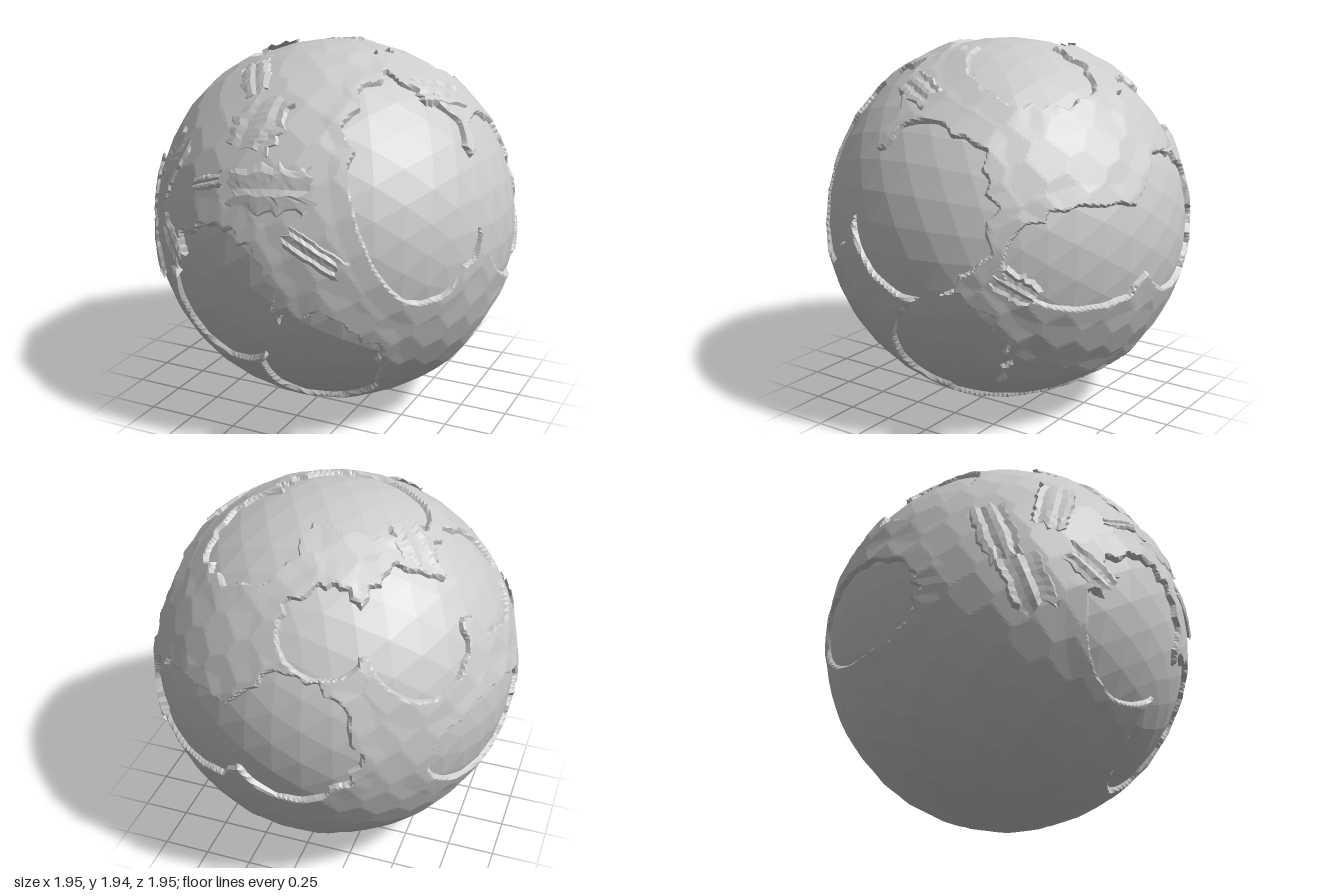
import * as THREE from 'three';
import { mergeVertices } from 'three/addons/utils/BufferGeometryUtils.js';

const CENTRE_Y = 0.98;
const V = (x, y, z) => new THREE.Vector3(x, y, z);
const material = new THREE.MeshStandardMaterial({ color: 0xcccccc, flatShading: true });
const flakeMaterial = material.clone();
flakeMaterial.side = THREE.DoubleSide;

function seeded(seed) {
  let s = seed;
  return () => ((s = (s * 16807) % 2147483647) / 2147483647);
}

// Sides of the ball: direction outwards, rightwards and upwards
function side(x, y, z) {
  const out = V(x, y, z).normalize();
  const right = Math.abs(y) > 0.9 ? V(1, 0, 0) : V(0, 1, 0).cross(out).normalize();
  return { out, right, up: out.clone().cross(right) };
}
const SIDES = {
  front: side(0, 0, 1), right: side(1, 0, 0), top: side(0, 1, 0),
  frontRight: side(0.612, 0.5, 0.612), backLeft: side(-0.612, 0.5, -0.612),
  backRight: side(0.612, -0.5, -0.612),
};

// Local frame at point u, v of a side, with its first axis turned by an angle
function frameAt(name, u, v, angle = 0) {
  const s = SIDES[name];
  const out = s.out.clone().multiplyScalar(Math.sqrt(1 - u * u - v * v));
  out.addScaledVector(s.right, u).addScaledVector(s.up, v);
  const along = s.right.clone().multiplyScalar(Math.cos(angle)).addScaledVector(s.up, Math.sin(angle));
  along.addScaledVector(out, -along.dot(out)).normalize();
  return { out, along, across: out.clone().cross(along) };
}

// Broken-away areas: side, u, v, half width, half height
const HOLES = [
  ['top', -.1, 0, .44, .33], ['top', .3, .34, .3, .34], ['top', -.77, 0, .3, .3],
  ['front', -.22, -.2, .36, .42], ['front', .28, -.57, .32, .42],
  ['frontRight', .12, -.08, .39, .7], ['right', .1, .24, .44, .48],
  ['backLeft', -.39, .21, .24, .23], ['backLeft', .05, .1, .3, .35],
  ['backLeft', -.64, -.3, .36, .38], ['backLeft', .45, -.5, .48, .27],
  ['backRight', -.45, -.1, .32, .42], ['backRight', .1, -.48, .58, .27],
  ['backRight', .25, .5, .5, .27],
];

// Each hole is an oval, smooth along one part of its edge and jagged along the rest
function makeHole([name, u, v, halfWidth, halfHeight], i) {
  const rand = seeded(i * 977 + 31);
  const turn = rand() * 40;
  const jags = Array.from({ length: 40 }, (_, k) => (rand() - 0.5) * ((k + turn) % 40 < 16 ? 0.03 : 0.24));
  return { ...frameAt(name, u, v), halfWidth, halfHeight, jags };
}

// Distance from a direction to a hole's edge, negative inside
function edgeDistance(hole, d) {
  const w = d.dot(hole.out);
  if (w < 0.3) return 1;
  const x = d.dot(hole.along) / w / hole.halfWidth;
  const y = d.dot(hole.across) / w / hole.halfHeight;
  const t = (Math.atan2(y, x) / (2 * Math.PI) + 0.5) * 40, k = Math.floor(t);
  const jag = THREE.MathUtils.lerp(hole.jags[k % 40], hole.jags[(k + 1) % 40], t - k);
  return (Math.hypot(x, y) - 1 - jag) * Math.sqrt(hole.halfWidth * hole.halfHeight);
}

// Faceted outer shell, sinking steeply below the core wherever a piece is missing
function makeShell() {
  const holes = HOLES.map(makeHole);
  const facets = [];
  for (let i = 0; i < 420; i++) {
    const y = 1 - (2 * i + 1) / 420, r = Math.sqrt(1 - y * y);
    facets.push(V(r * Math.cos(i * 2.39996), y, r * Math.sin(i * 2.39996)));
  }
  let geo = new THREE.IcosahedronGeometry(1, 72);
  geo.deleteAttribute('uv');
  geo.deleteAttribute('normal');
  geo = mergeVertices(geo, 1e-4);
  const pos = geo.attributes.position, sunk = [], d = V(0, 0, 0);
  for (let i = 0; i < pos.count; i++) {
    d.fromBufferAttribute(pos, i).normalize();
    let facing = 0, dist = 1;
    for (const f of facets) facing = Math.max(facing, f.dot(d));
    for (const h of holes) dist = Math.min(dist, edgeDistance(h, d));
    const rim = 0.008 * THREE.MathUtils.clamp(1 - dist / 0.15, 0, 1);
    const drop = 0.06 * (1 - THREE.MathUtils.smoothstep(dist, -0.026, 0.004));
    d.multiplyScalar(Math.min(0.975 / facing, 0.982) + rim - drop);
    sunk.push(dist < -0.03);
    pos.setXYZ(i, d.x, d.y, d.z);
  }
  // Leave out the triangles buried inside the core
  const index = [], old = geo.index.array;
  for (let i = 0; i < old.length; i += 3) {
    const t = [old[i], old[i + 1], old[i + 2]];
    if (!t.every((k) => sunk[k])) index.push(...t);
  }
  geo.setIndex(index);
  geo.computeVertexNormals();
  return geo;
}

// Torn, ridged flake lying on the shell; one end is tilted up
function makeFlake([name, u, v, length, width, angle], seed) {
  const rand = seeded(seed * 613 + 7);
  const { out, along, across } = frameAt(name, u, v, angle);
  const nu = 14, nv = 8, pos = [], index = [];
  const torn = Array.from({ length: nv + 1 }, () => [0.75 + rand() * 0.4, 0.75 + rand() * 0.4]);
  for (let i = 0; i <= nu; i++) {
    const a = (i / nu) * 2 - 1;
    const half = width * (0.75 + 0.25 * Math.cos(a * 1.4)) * (0.85 + rand() * 0.3);
    for (let j = 0; j <= nv; j++) {
      const b = (j / nv) * 2 - 1;
      const reach = length * a * torn[j][a > 0 ? 1 : 0];
      const edge = Math.max(Math.abs(a), Math.abs(b)) > 0.99;
      const ridge = 0.006 * Math.sin(j * 2.1 + seed) + 0.003 * rand();
      const r = edge && a < 0.9 ? 0.955 : 0.986 + 0.007 * a + ridge;
      const p = out.clone().addScaledVector(along, reach).addScaledVector(across, half * b).setLength(r);
      pos.push(p.x, p.y, p.z);
      if (i < nu && j < nv) {
        const k = i * (nv + 1) + j;
        index.push(k, k + nv + 1, k + 1, k + 1, k + nv + 1, k + nv + 2);
      }
    }
  }
  const geo = new THREE.BufferGeometry();
  geo.setAttribute('position', new THREE.Float32BufferAttribute(pos, 3));
  geo.setIndex(index);
  geo.computeVertexNormals();
  return geo;
}

// Torn flakes: side, u, v, half length, half width, direction
const FLAKES = [
  ['front', -.08, .66, .17, .19, 1.5], ['front', .06, .4, .24, .15, .1],
  ['front', -.22, .84, .14, .1, 2], ['front', .3, .13, .18, .07, -.5],
  ['front', -.62, .38, .2, .12, 1.2], ['front', -.78, -.08, .18, .14, -1],
  ['front', -.85, .18, .2, .12, 2.1], ['front', -.55, .03, .15, .1, -.6],
  ['front', -.3, .38, .12, .05, .2], ['top', -.48, .2, .13, .13, -.7],
  ['top', .62, -.12, .16, .1, .9], ['right', .58, -.1, .13, .08, -.5],
];

export function createModel() {
  const group = new THREE.Group();
  const add = (name, geo, mat) => {
    const mesh = new THREE.Mesh(geo, mat);
    mesh.name = name;
    mesh.position.y = CENTRE_Y;
    group.add(mesh);
  };
  // Low-poly ball seen through the broken areas
  add('core', new THREE.IcosahedronGeometry(0.962, 6), material);
  add('crackedShell', makeShell(), material);
  FLAKES.forEach((f, i) => add('flake' + (i + 1), makeFlake(f, i + 1), flakeMaterial));
  return group;
}
